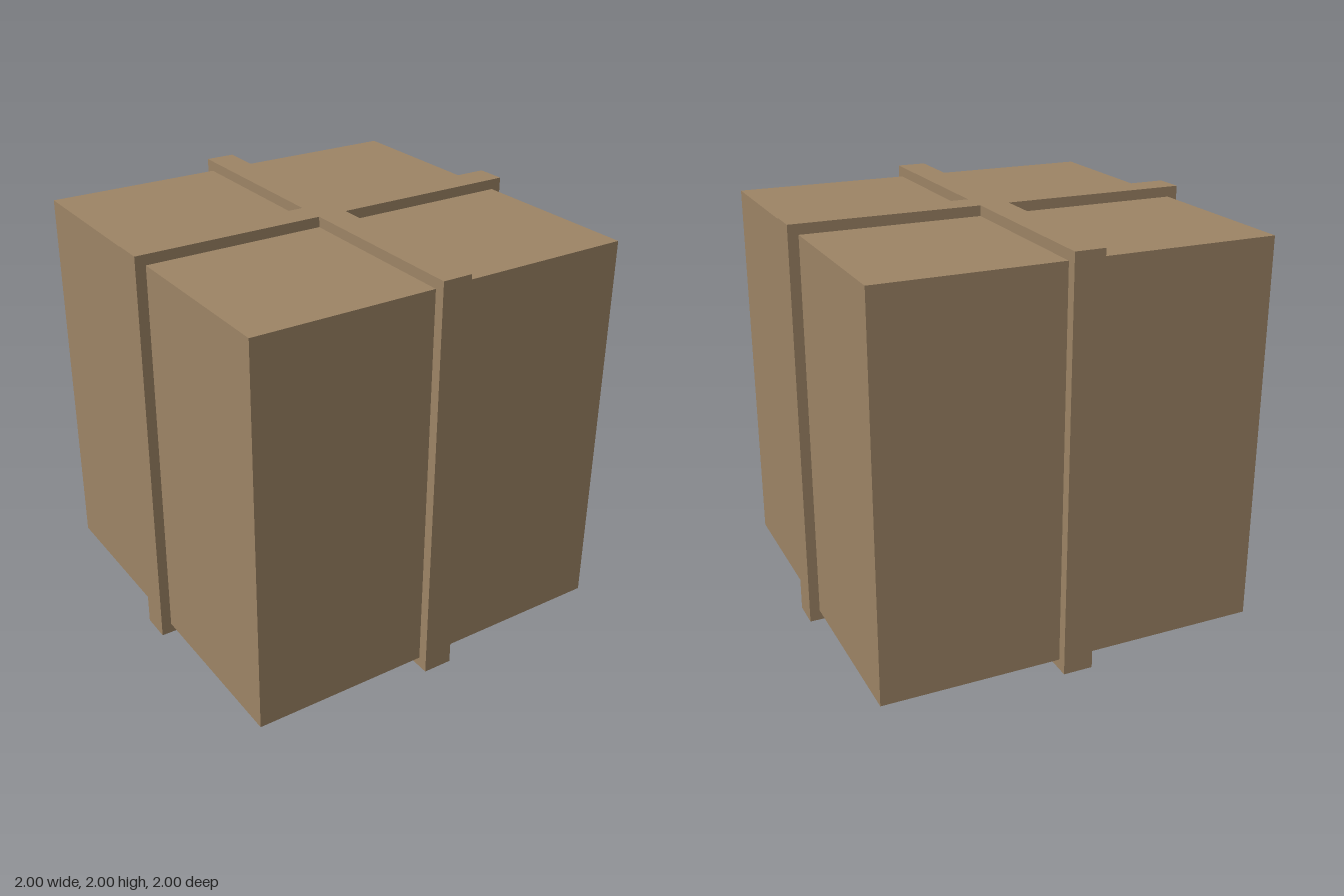
import * as THREE from 'three';

const HALF = 1;        // outer half size of the straps
const INNER = 0.95;    // half size of the box
const STRAP = 0.0725;  // half width of a strap

// Extrudes an outline drawn in x, y to the strap width, centred on z
function extrudeStrap(shape) {
  const geometry = new THREE.ExtrudeGeometry(shape, { depth: STRAP * 2, bevelEnabled: false });
  return geometry.translate(0, HALF, -STRAP);
}

function outline(points) {
  return points.map(([x, y]) => new THREE.Vector2(x, y));
}

export function createModel() {
  const model = new THREE.Group();
  model.name = 'strappedBox';
  const cardboard = new THREE.MeshStandardMaterial({ color: 0x9e8566 });
  cardboard.name = 'cardboard brown';

  function add(name, geometry) {
    const mesh = new THREE.Mesh(geometry, cardboard);
    mesh.name = name;
    model.add(mesh);
    return mesh;
  }

  // Box body
  add('box', new THREE.BoxGeometry(INNER * 2, INNER * 2, INNER * 2).translate(0, HALF, 0));

  // Closed strap over the front, top, back and bottom
  const ring = new THREE.Shape(outline([[-HALF, -HALF], [HALF, -HALF], [HALF, HALF], [-HALF, HALF]]));
  ring.holes.push(new THREE.Path(outline([[-INNER, -INNER], [-INNER, INNER], [INNER, INNER], [INNER, -INNER]])));
  add('frontBackStrap', extrudeStrap(ring)).rotation.y = Math.PI / 2;

  // Crossing strap in two halves that butt against the closed one
  const half = new THREE.Shape(outline([
    [STRAP, -HALF], [HALF, -HALF], [HALF, HALF], [STRAP, HALF],
    [STRAP, INNER], [INNER, INNER], [INNER, -INNER], [STRAP, -INNER],
  ]));
  add('leftStrap', extrudeStrap(half));
  add('rightStrap', extrudeStrap(half)).rotation.y = Math.PI;

  return model;
}
